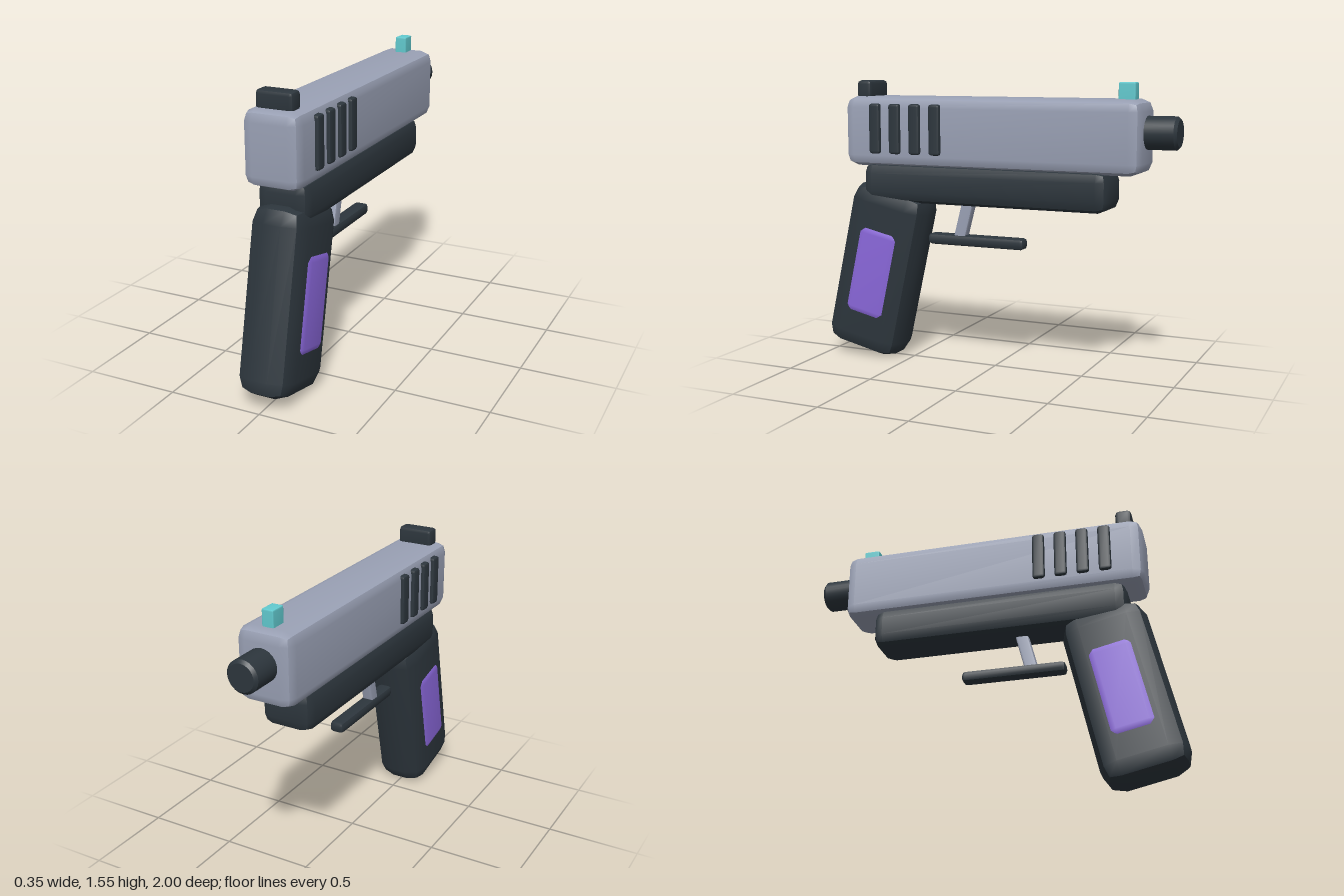
import * as THREE from 'three';
import { toCreasedNormals } from 'three/addons/utils/BufferGeometryUtils.js';

const material = (name, color) => {
  const m = new THREE.MeshStandardMaterial({ color });
  m.name = name;
  return m;
};

// Box with low-poly rounded edges: a 3x3 grid per face, rim vertices pulled onto a radius.
// Each face is smooth inside and creased where it meets its neighbour.
function softBox(w, h, d, r) {
  const geo = new THREE.BoxGeometry(3, 3, 3, 3, 3, 3);
  const pos = geo.attributes.position;
  const p = new THREE.Vector3();
  const n = new THREE.Vector3();
  const core = new THREE.Vector3(w / 2 - r, h / 2 - r, d / 2 - r);
  for (let i = 0; i < pos.count; i++) {
    p.fromBufferAttribute(pos, i);
    n.set(...p.toArray().map((v) => (Math.abs(v) > 1 ? Math.sign(v) : 0))).normalize();
    p.set(Math.sign(p.x), Math.sign(p.y), Math.sign(p.z)).multiply(core).addScaledVector(n, r);
    pos.setXYZ(i, p.x, p.y, p.z);
  }
  geo.computeVertexNormals();
  return geo;
}

export function createModel() {
  const model = new THREE.Group();
  model.name = 'toyBlaster';

  const steel = material('steel grey', 0x9aa1b5);
  const dark = material('dark slate', 0x2d363d);
  const purple = material('purple', 0x8b68dc);
  const teal = material('teal', 0x62cbd0);

  const add = (name, geo, mat, x, y, z, tilt = 0) => {
    const mesh = new THREE.Mesh(geo, mat);
    mesh.name = name;
    mesh.position.set(x, y, z);
    mesh.rotation.x = tilt;
    model.add(mesh);
    return mesh;
  };

  // Upper body and lower frame
  add('slide', softBox(0.305, 0.38, 1.68, 0.06), steel, 0, 1.278, 0.005);
  add('frame', softBox(0.28, 0.22, 1.41, 0.06), dark, 0, 1.0, 0.04);

  // Slanted grip with side panels standing slightly proud
  add('grip', softBox(0.296, 0.96, 0.46, 0.1), dark, 0, 0.499, 0.694, -0.22);
  add('gripPanels', softBox(0.318, 0.51, 0.25, 0.04), purple, 0, 0.491, 0.691, -0.22);

  // Trigger and guard bar
  add('trigger', softBox(0.06, 0.24, 0.068, 0.012), steel, 0, 0.81, 0.177, -0.25);
  add('triggerGuard', softBox(0.08, 0.06, 0.567, 0.02), dark, 0, 0.69, 0.107);

  // Barrel with a chamfered muzzle
  const profile = [[0, -0.2], [0.085, -0.2], [0.085, 0.185], [0.07, 0.2], [0, 0.2]]
    .map(([r, y]) => new THREE.Vector2(r, y));
  const barrel = toCreasedNormals(new THREE.LatheGeometry(profile, 24), 0.6);
  add('barrel', barrel, dark, 0, 1.302, -0.8, -Math.PI / 2);

  // Sights
  add('rearSight', softBox(0.198, 0.1, 0.088, 0.02), dark, 0, 1.503, 0.746);
  add('frontSight', softBox(0.065, 0.1, 0.09, 0.008), teal, 0, 1.503, -0.731);

  // Grip ribs on both sides of the slide
  const rib = softBox(0.05, 0.27, 0.067, 0.015);
  for (const side of [-1, 1]) {
    for (let i = 0; i < 4; i++) {
      add('slideRib', rib, dark, side * 0.148, 1.295, 0.284 + i * 0.12);
    }
  }
  return model;
}
